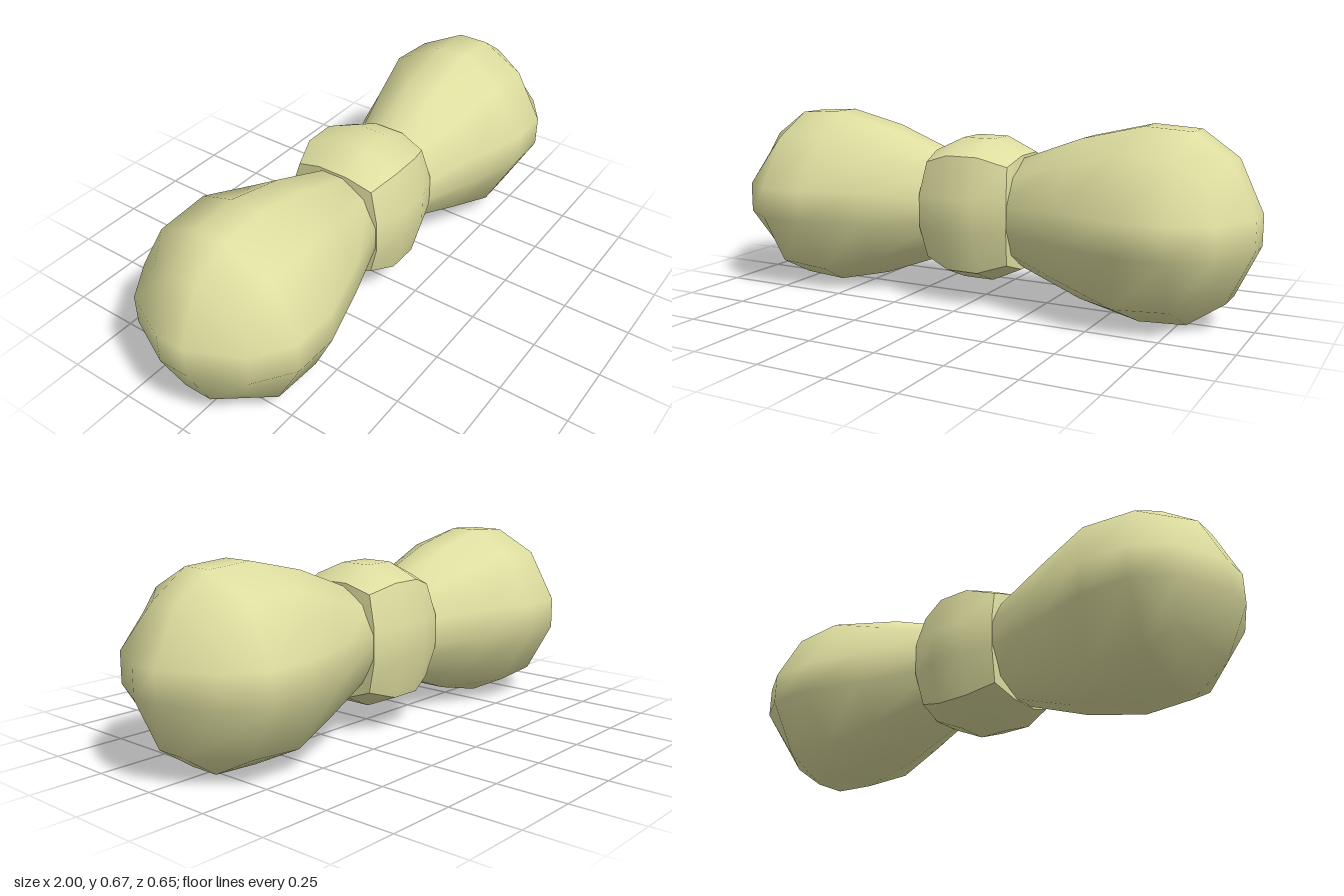
import * as THREE from 'three';
import { mergeVertices } from 'three/addons/utils/BufferGeometryUtils.js';

// Moves every lattice point of a segmented box by a rule
function warpBox(nx, ny, nz, rule) {
  const geo = new THREE.BoxGeometry(nx, ny, nz, nx, ny, nz);
  const p = geo.attributes.position;
  for (let i = 0; i < p.count; i++) {
    const q = rule(p.getX(i), p.getY(i), p.getZ(i));
    p.setXYZ(i, q[0], q[1], q[2]);
  }
  return geo;
}

// Rings along the lobe: x, half height, half depth, then corner x, y, z
const RINGS = [
  [0.10, 0.172, 0.160, 0.10, 0.120, 0.112],
  [0.40, 0.283, 0.258, 0.38, 0.200, 0.180],
  [0.62, 0.335, 0.325, 0.58, 0.256, 0.222],
  [0.785, 0.325, 0.322, 0.775, 0.242, 0.222],
  [0.915, 0.235, 0.235, 0.865, 0.178, 0.172],
];

// Rounded, smooth lobe pointing to +x
function lobeGeometry() {
  const geo = warpBox(4, 3, 3, (x, y, z) => {
    const i = Math.round(x + 2);
    const [rx, ry, rz, cx, cy, cz] = RINGS[i];
    const outY = Math.abs(y) > 1, outZ = Math.abs(z) > 1;
    const sy = Math.sign(y), sz = Math.sign(z);
    const inner = 0.057 * Math.min(1, ry / 0.25);
    if (outY && outZ) return [cx, sy * cy, sz * cz];
    if (outY) return [rx, sy * ry, sz * inner];
    if (outZ) return [rx, sy * inner, sz * rz];
    return [i === 4 ? 1 : rx, sy * inner, sz * inner]; // end cap
  });
  geo.deleteAttribute('normal');
  geo.deleteAttribute('uv');
  const smooth = mergeVertices(geo, 1e-4);
  smooth.computeVertexNormals();
  return smooth;
}

// Pillow-like knot: each side curved, with creases between the sides
function knotGeometry() {
  const size = [ // inner, face, edge, corner for each axis
    [0.06, 0.178, 0.175, 0.162],
    [0.06, 0.26, 0.207, 0.175],
    [0.06, 0.228, 0.188, 0.155],
  ];
  const geo = warpBox(3, 3, 3, (...c) => {
    const outer = c.filter((v) => Math.abs(v) > 1).length;
    return c.map((v, a) => Math.sign(v) * size[a][Math.abs(v) > 1 ? outer : 0]);
  });
  geo.computeVertexNormals();
  return geo;
}

export function createModel() {
  const group = new THREE.Group();
  const cream = new THREE.MeshStandardMaterial({ color: 0xdedea0 });
  cream.name = 'cream';

  // Two matching lobes
  const lobe = lobeGeometry();
  for (const [name, turn] of [['leftLobe', 0], ['rightLobe', Math.PI]]) {
    const mesh = new THREE.Mesh(lobe, cream);
    mesh.name = name;
    mesh.position.y = 0.335;
    mesh.rotation.y = turn;
    group.add(mesh);
  }

  // Centre knot
  const knot = new THREE.Mesh(knotGeometry(), cream);
  knot.name = 'knot';
  knot.position.y = 0.338;
  group.add(knot);

  return group;
}
